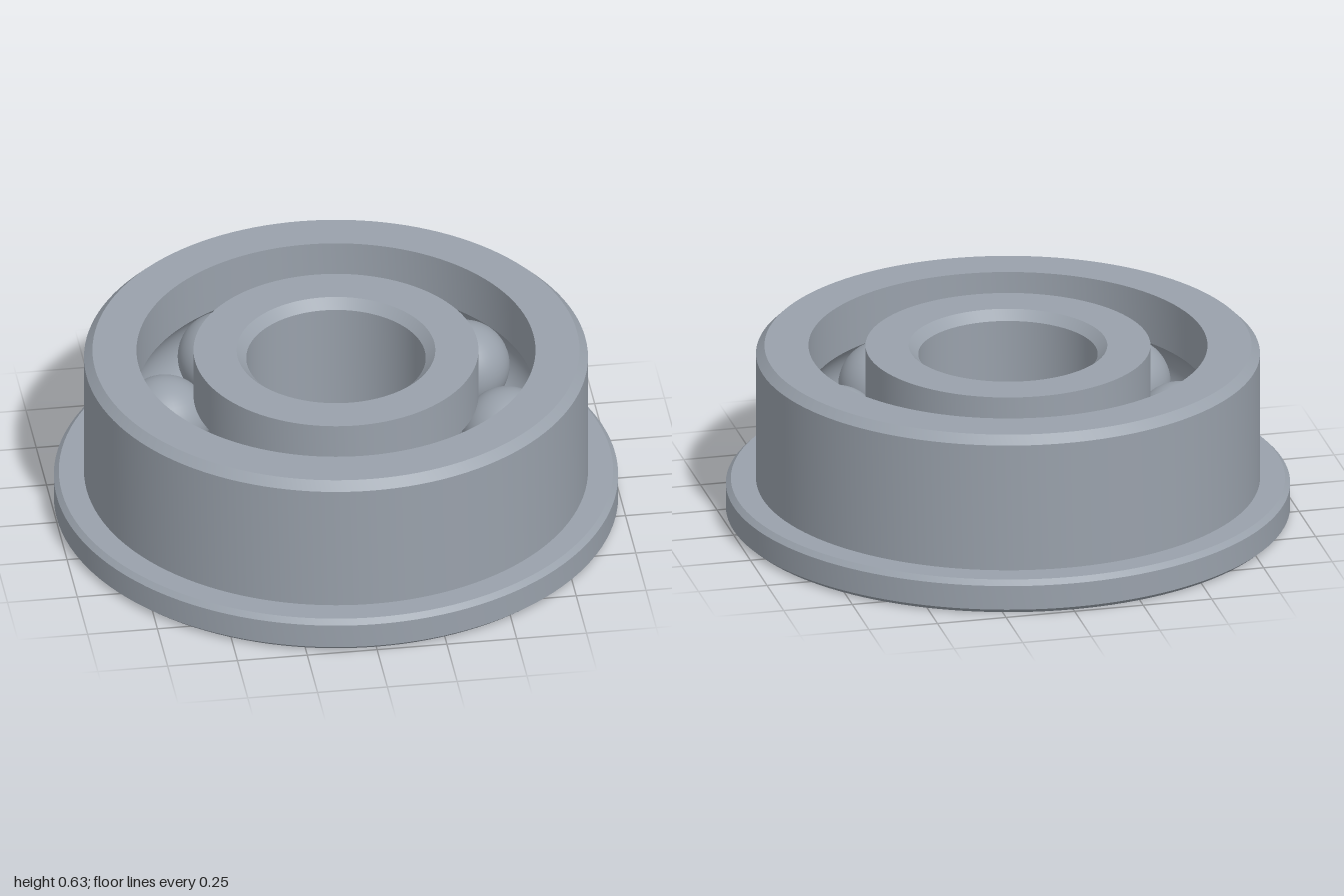
import * as THREE from 'three';
import { toCreasedNormals } from 'three/addons/utils/BufferGeometryUtils.js';

const HEIGHT = 0.63, MID = HEIGHT / 2;
const PITCH = 0.607, BALL_R = 0.16, BALLS = 8;
const GROOVE_R = 0.162;

// Arc of the ball track, from height offset +/-; side = 1 for the outer race, -1 for the inner race
function groove(wallRadius, side) {
  const a = Math.acos(Math.abs(wallRadius - PITCH) / GROOVE_R);
  const points = [];
  for (let i = 0; i <= 16; i++) {
    const t = side * a * (1 - i / 8);
    points.push([PITCH + side * GROOVE_R * Math.cos(t), MID + GROOVE_R * Math.sin(t)]);
  }
  return points;
}

// Closed ring turned from a counter-clockwise profile, with crisp edges
function ring(name, profile, material) {
  const points = [...profile, profile[0]].map(([r, y]) => new THREE.Vector2(r, y));
  const geometry = toCreasedNormals(new THREE.LatheGeometry(points, 128), 0.4);
  const mesh = new THREE.Mesh(geometry, material);
  mesh.name = name;
  return mesh;
}

export function createModel() {
  const model = new THREE.Group();
  model.name = 'flangedBallBearing';
  const steel = new THREE.MeshStandardMaterial({ color: 0x99a1ab });
  steel.name = 'steel grey';

  // Outer race with chamfered flange at the base
  model.add(ring('outerRace', [
    [0.98, 0], [1, 0.017], [1, 0.107], [0.982, 0.125],
    [0.893, 0.125], [0.893, 0.6], [0.863, HEIGHT],
    [0.707, HEIGHT], ...groove(0.707, 1), [0.707, 0],
  ], steel));

  // Inner race with chamfered bore
  model.add(ring('innerRace', [
    [0.505, 0], ...groove(0.505, -1), [0.505, HEIGHT],
    [0.352, HEIGHT], [0.318, 0.597], [0.318, 0.033], [0.352, 0],
  ], steel));

  // Balls spaced evenly in the track
  const balls = new THREE.Group();
  balls.name = 'balls';
  const ballGeometry = new THREE.SphereGeometry(BALL_R, 40, 24);
  for (let i = 0; i < BALLS; i++) {
    const angle = THREE.MathUtils.degToRad(12) + (i / BALLS) * Math.PI * 2;
    const ball = new THREE.Mesh(ballGeometry, steel);
    ball.name = 'ball' + (i + 1);
    ball.position.set(PITCH * Math.cos(angle), MID, PITCH * Math.sin(angle));
    balls.add(ball);
  }
  model.add(balls);
  return model;
}
